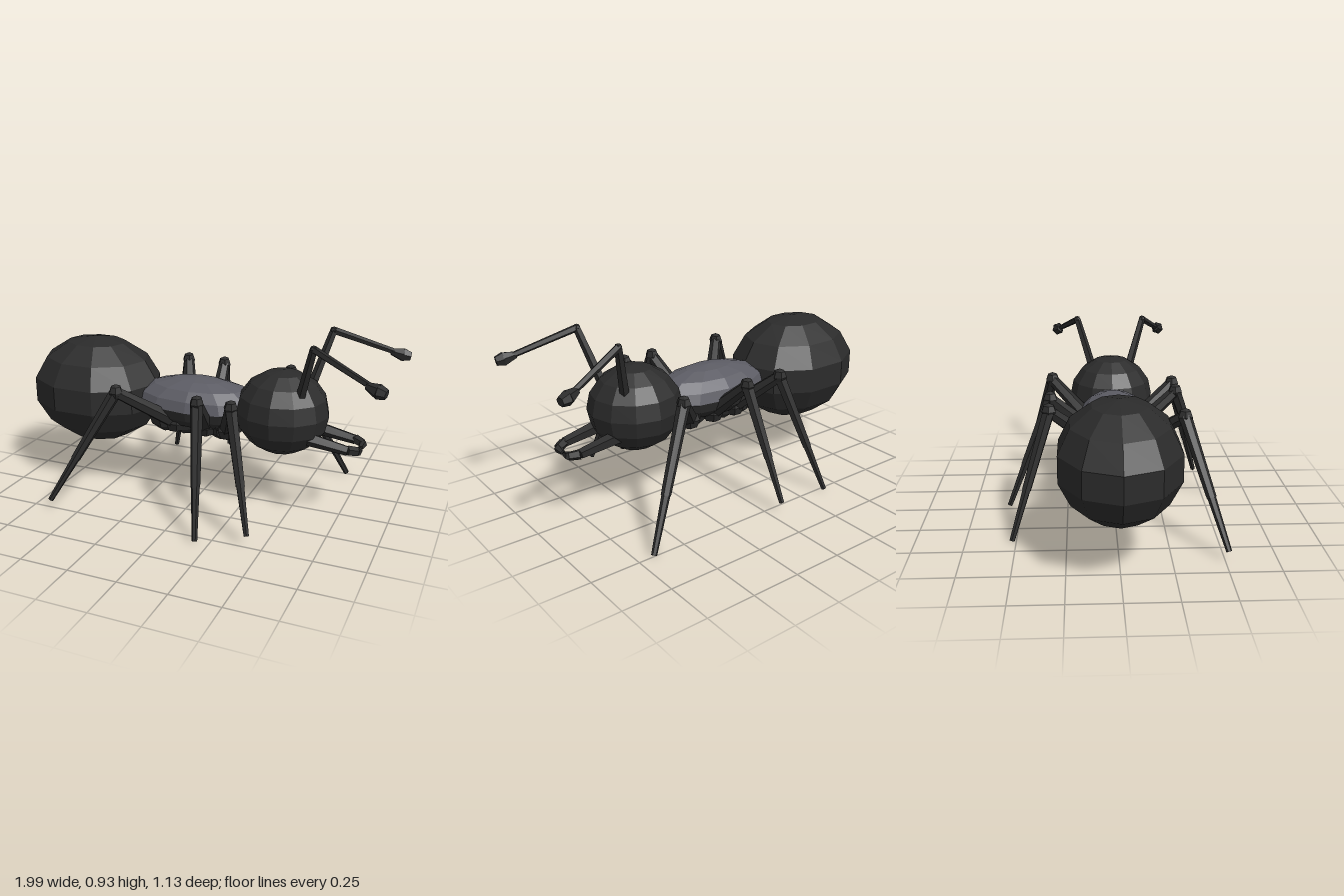
import * as THREE from 'three';

const shell = new THREE.MeshStandardMaterial({ color: 0x2b2b2b, flatShading: true });
shell.name = 'black shell';
const plate = new THREE.MeshStandardMaterial({ color: 0x5c5c64, flatShading: true });
plate.name = 'grey plate';

const V = (x, y, z) => new THREE.Vector3(x, y, z);

function add(parent, name, geometry, material = shell) {
  const mesh = new THREE.Mesh(geometry, material);
  mesh.name = name;
  parent.add(mesh);
  return mesh;
}

// Faceted ellipsoid, optionally only a span of its height
function ball(parent, name, pos, radii, [w, h], material = shell, start = 0, length = Math.PI) {
  const mesh = add(parent, name, new THREE.SphereGeometry(1, w, h, 0, Math.PI * 2, start, length), material);
  mesh.position.set(...pos);
  mesh.scale.set(...radii);
  return mesh;
}

// Tapered rod from a to b
function limb(parent, name, a, b, ra, rb, sides = 6) {
  const dir = b.clone().sub(a);
  const mesh = add(parent, name, new THREE.CylinderGeometry(rb, ra, dir.length(), sides));
  mesh.position.copy(a).lerp(b, 0.5);
  mesh.quaternion.setFromUnitVectors(V(0, 1, 0), dir.normalize());
  return mesh;
}

export function createModel() {
  const ant = new THREE.Group();
  ant.name = 'ant';

  // Body
  ball(ant, 'abdomen', [-0.63, 0.515, 0], [0.37, 0.29, 0.3], [10, 7]);
  ball(ant, 'head', [0.43, 0.523, 0], [0.24, 0.218, 0.23], [12, 8]);
  ball(ant, 'thoraxTop', [-0.03, 0.505, 0], [0.36, 0.14, 0.19], [12, 4], plate, 0, Math.PI / 2);
  ball(ant, 'thoraxBottom', [-0.03, 0.505, 0], [0.36, 0.13, 0.19], [12, 4], shell, Math.PI / 2, Math.PI / 2);
  for (const x of [-0.2, -0.09, 0.12]) {
    ball(ant, 'thoraxSegment', [x, 0.43, 0], [0.11, 0.1, 0.13], [8, 6]);
  }

  // Legs, in an alternating gait: [name, side, hip x, knee x, foot x, foot y, foot z]
  const legs = [
    ['leftRear', -1, -0.12, -0.23, -0.4, 0.01, 0.52],
    ['leftMiddle', -1, 0.02, -0.015, -0.065, 0.055, 0.555],
    ['leftFront', -1, 0.17, 0.37, 0.67, 0.01, 0.5],
    ['rightRear', 1, -0.12, -0.34, -0.645, 0.055, 0.515],
    ['rightMiddle', 1, 0.05, 0.1, 0.18, 0.01, 0.55],
    ['rightFront', 1, 0.17, 0.275, 0.42, 0.055, 0.485],
  ];
  for (const [name, s, hx, kx, fx, fy, fz] of legs) {
    const leg = new THREE.Group();
    leg.name = name + 'Leg';
    const hip = V(hx, 0.42, s * 0.1);
    const knee = V(kx, 0.625, s * 0.33);
    const foot = V(fx, fy, s * fz);
    const ankle = knee.clone().lerp(foot, 0.61);
    ball(leg, 'hip', hip.toArray(), [0.06, 0.06, 0.06], [6, 4]);
    limb(leg, 'thigh', hip, knee, 0.042, 0.03);
    ball(leg, 'knee', knee.toArray(), [0.036, 0.042, 0.04], [6, 4]);
    limb(leg, 'shin', knee, ankle, 0.032, 0.024);
    limb(leg, 'foot', ankle, foot, 0.021, 0.014);
    ant.add(leg);
  }

  // Antennae and jaws on both sides
  for (const s of [1, -1]) {
    const antenna = new THREE.Group();
    antenna.name = s > 0 ? 'rightAntenna' : 'leftAntenna';
    const base = V(0.545, 0.63, s * 0.1);
    const elbow = V(0.625, 0.915, s * 0.188);
    const tip = V(0.93, 0.803, s * 0.3);
    limb(antenna, 'lowerStalk', base, elbow, 0.025, 0.019, 5);
    ball(antenna, 'elbow', elbow.toArray(), [0.02, 0.02, 0.02], [6, 4]);
    limb(antenna, 'upperStalk', elbow, tip, 0.019, 0.015, 5);
    limb(antenna, 'club', V(0.9, 0.808, s * 0.293), V(0.955, 0.794, s * 0.31), 0.018, 0.036);
    limb(antenna, 'clubTip', V(0.955, 0.794, s * 0.31), V(0.993, 0.787, s * 0.318), 0.036, 0.024);
    ant.add(antenna);

    const jaw = new THREE.Group();
    jaw.name = s > 0 ? 'rightJaw' : 'leftJaw';
    const bend = V(0.79, 0.395, s * 0.08);
    limb(jaw, 'jawBase', V(0.58, 0.43, s * 0.085), bend, 0.036, 0.025, 5);
    limb(jaw, 'jawTip', bend, V(0.835, 0.388, s * 0.055), 0.026, 0.022, 5);
    limb(jaw, 'jawPoint', V(0.835, 0.388, s * 0.055), V(0.835, 0.382, s * 0.008), 0.022, 0.012, 5);
    ant.add(jaw);
  }
  return ant;
}
